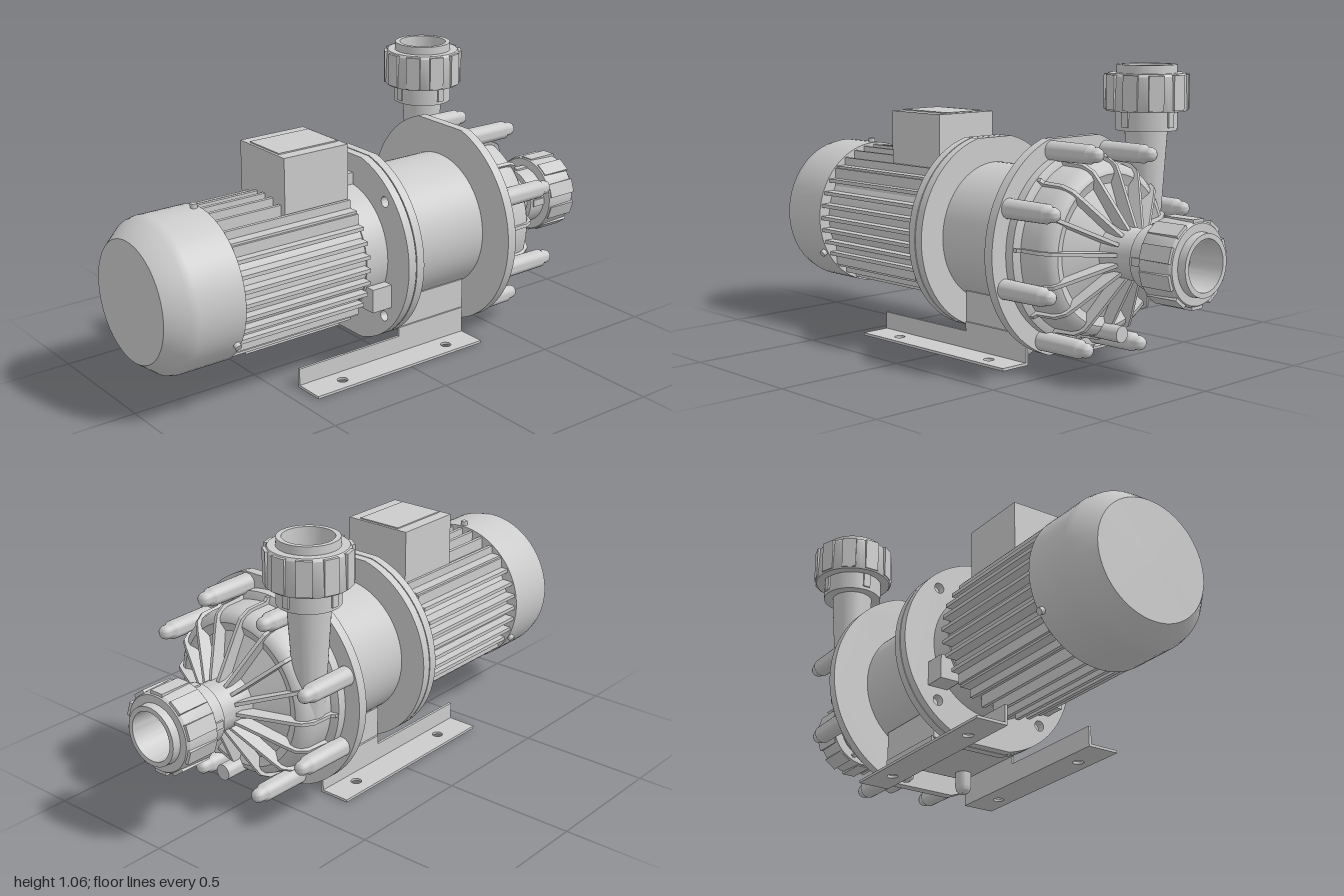
import * as THREE from 'three';
import { toCreasedNormals } from 'three/addons/utils/BufferGeometryUtils.js';

const AY = 0.425, AZ = 0.01; // shaft axis
const mat = new THREE.MeshStandardMaterial({ color: 0xcccccc, side: THREE.DoubleSide });
const rad = THREE.MathUtils.degToRad;

function add(parent, name, geo, x = 0, y = 0, z = 0) {
  const m = new THREE.Mesh(geo, mat);
  m.name = name;
  m.position.set(x, y, z);
  parent.add(m);
  return m;
}

// Turned part: pairs of [position along axis, radius]
function turned(pts, seg = 64) {
  const g = new THREE.LatheGeometry(pts.map(([s, r]) => new THREE.Vector2(r, s)), seg);
  return toCreasedNormals(g, rad(32));
}
const turnedX = (pts, seg) => turned(pts, seg).rotateZ(-Math.PI / 2);

// Disc with flats at top and bottom, and optional bolt holes
function flatDisc(r, flat, thick, holeR = 0, holeRing = 0) {
  const a = Math.asin(flat / r), s = new THREE.Shape();
  s.absarc(0, 0, r, -a, a, false);
  s.absarc(0, 0, r, Math.PI - a, Math.PI + a, false);
  s.closePath();
  if (holeR) for (let i = 0; i < 4; i++) {
    const t = Math.PI / 4 + i * Math.PI / 2, h = new THREE.Path();
    h.absarc(Math.cos(t) * holeRing, Math.sin(t) * holeRing, holeR, 0, Math.PI * 2, true);
    s.holes.push(h);
  }
  const g = new THREE.ExtrudeGeometry(s, { depth: thick, bevelEnabled: false, curveSegments: 40 });
  return toCreasedNormals(g.rotateY(Math.PI / 2), rad(30));
}

// Pipe union along +y: collar, gripped nut and open end
function pipeUnion(name) {
  const g = new THREE.Group();
  g.name = name;
  add(g, 'collar', turned([[0, 0.04], [0, 0.112], [0.075, 0.112]]));
  add(g, 'unionNut', turned([[0.07, 0.1], [0.07, 0.146], [0.078, 0.15], [0.195, 0.145], [0.205, 0.138], [0.205, 0.105]]));
  add(g, 'openEnd', turned([[0.2, 0.11], [0.235, 0.108], [0.235, 0.09], [0.1, 0.085], [0.1, 0.055], [0.01, 0.05], [0.01, 0]]));
  for (let i = 0; i < 10; i++) {
    const a = i * Math.PI / 5;
    const grip = add(g, 'nutGrip', new THREE.BoxGeometry(0.02, 0.125, 0.055), Math.cos(a) * 0.142, 0.138, Math.sin(a) * 0.142);
    grip.rotation.y = -a;
  }
  for (let i = 0; i < 4; i++) {
    const a = i * Math.PI / 2;
    const lug = add(g, 'collarLug', new THREE.BoxGeometry(0.012, 0.055, 0.028), Math.cos(a) * 0.112, 0.04, Math.sin(a) * 0.112);
    lug.rotation.y = -a;
  }
  return g;
}

function buildMotor(p) {
  add(p, 'fanCover', turnedX([[-1, 0], [-1, 0.222], [-0.93, 0.277], [-0.9, 0.284], [-0.715, 0.284], [-0.715, 0.2]]));
  add(p, 'motorBody', turnedX([[-0.73, 0.238], [-0.17, 0.238], [-0.17, 0.243], [-0.07, 0.243]]));
  // parallel cooling fins on four sides
  for (let side = 0; side < 4; side++) {
    const g = new THREE.Group();
    g.name = 'finBank';
    g.rotation.x = side * Math.PI / 2;
    for (let i = -4; i <= 4; i++) {
      const t = i * 0.049, top = Math.sqrt(0.276 ** 2 - t * t), low = Math.sqrt(0.238 ** 2 - t * t) - 0.02;
      add(g, 'coolingFin', new THREE.BoxGeometry(0.545, top - low, 0.014), -0.45, (top + low) / 2, t);
    }
    p.add(g);
  }
  // cover screws
  for (const deg of [90, 210, 330]) {
    const a = rad(deg);
    const s = add(p, 'coverScrew', new THREE.CylinderGeometry(0.013, 0.013, 0.03, 16), -0.735, Math.sin(a) * 0.285, -Math.cos(a) * 0.285);
    s.rotation.x = a - Math.PI / 2;
  }
  // terminal box
  add(p, 'terminalBox', new THREE.BoxGeometry(0.275, 0.235, 0.273), -0.307, 0.318, -0.007);
  add(p, 'terminalBoxLid', new THREE.BoxGeometry(0.255, 0.01, 0.18), -0.307, 0.435, -0.007);
  // mounting lugs behind the flange
  add(p, 'topLug', new THREE.BoxGeometry(0.085, 0.08, 0.07), -0.117, 0.245, 0);
  for (const s of [-1, 1])
    add(p, 'sideLug', new THREE.BoxGeometry(0.085, 0.09, 0.08), -0.117, -0.13, s * 0.225);
  add(p, 'motorFlange', flatDisc(0.365, 0.355, 0.033, 0.02, 0.315), -0.075);
  add(p, 'lanternFlange', flatDisc(0.365, 0.355, 0.033), -0.038);
}

function buildPump(p) {
  add(p, 'lantern', turnedX([[-0.02, 0.262], [0.38, 0.262]]));
  add(p, 'pumpFlange', flatDisc(0.405, 0.385, 0.037), 0.369);
  add(p, 'casing', turnedX([
    [0.4, 0.341], [0.44, 0.341], [0.447, 0.325], [0.45, 0.313], [0.53, 0.311], [0.56, 0.302], [0.578, 0.285],
    [0.583, 0.268], [0.575, 0.25], [0.57, 0.235], [0.59, 0.19], [0.625, 0.11], [0.66, 0.092], [0.77, 0.09]]));
  // ribs fanning out from the inlet neck
  const s = new THREE.Shape([[0.41, 0.06], [0.69, 0.06], [0.69, 0.095], [0.605, 0.265], [0.585, 0.3], [0.545, 0.322],
    [0.465, 0.326], [0.455, 0.338], [0.41, 0.338]].map(([x, y]) => new THREE.Vector2(x, y)));
  const ribGeo = new THREE.ExtrudeGeometry(s, { depth: 0.013, bevelEnabled: false }).translate(0, 0, -0.0065);
  for (let i = 0; i < 16; i++)
    add(p, 'casingRib', ribGeo).rotation.x = rad(18.7 + i * 22.5 - 90);
  // casing bolts with domed heads
  const boltGeo = turnedX([[0.39, 0.036], [0.59, 0.034], [0.6, 0.028], [0.605, 0.026], [0.62, 0.026],
    [0.632, 0.021], [0.639, 0.012], [0.642, 0]], 24);
  for (let i = 0; i < 8; i++) {
    const a = rad(18.7 + i * 45);
    add(p, 'casingBolt', boltGeo, 0, Math.sin(a) * 0.363, -Math.cos(a) * 0.363);
  }
  add(p, 'drainPlug', turnedX([[0.45, 0.03], [0.655, 0.03], [0.655, 0]], 24), 0, -0.285, 0.02);
  // inlet and outlet
  const inlet = pipeUnion('inletUnion');
  inlet.rotation.z = -Math.PI / 2;
  inlet.position.x = 0.765;
  p.add(inlet);
  add(p, 'outletPipe', turned([[-0.02, 0], [-0.02, 0.05], [0.39, 0.077], [0.41, 0.077]], 40), 0.505, 0, -0.267);
  const outlet = pipeUnion('outletUnion');
  outlet.position.set(0.505, 0.4, -0.267);
  p.add(outlet);
}

function buildBase(root) {
  add(root, 'footBlock', new THREE.BoxGeometry(0.325, 0.12, 0.35), 0.187, 0.165, AZ);
  // flat foot plate with two bolt holes
  const plate = new THREE.Shape([[-0.43, 0], [0.345, 0], [0.345, 0.12], [-0.43, 0.12]].map(([x, y]) => new THREE.Vector2(x, y)));
  for (const x of [-0.28, 0.215])
    plate.holes.push(new THREE.Path().absarc(x, 0.065, 0.02, 0, Math.PI * 2, true));
  const plateGeo = new THREE.ExtrudeGeometry(plate, { depth: 0.01, bevelEnabled: false }).rotateX(Math.PI / 2).translate(0, 0.01, 0);
  // stepped upright of the bracket
  const web = new THREE.Shape([[-0.43, 0], [0.345, 0], [0.345, 0.11], [0.03, 0.11], [0.03, 0.075], [-0.43, 0.075]]
    .map(([x, y]) => new THREE.Vector2(x, y)));
  const webGeo = new THREE.ExtrudeGeometry(web, { depth: 0.01, bevelEnabled: false });
  for (const s of [1, -1]) {
    const g = new THREE.Group();
    g.name = s > 0 ? 'leftFootBracket' : 'rightFootBracket';
    add(g, 'footPlate', plateGeo, 0, 0, s > 0 ? AZ + 0.175 : AZ - 0.295);
    add(g, 'footWeb', webGeo, 0, 0, s > 0 ? AZ + 0.172 : AZ - 0.182);
    root.add(g);
    // domed screws under the block
    add(root, 'footScrew', turned([[0.02, 0], [0.023, 0.014], [0.035, 0.026], [0.05, 0.03], [0.12, 0.03]], 24), 0.29, 0, AZ + s * 0.127);
  }
}

export function createModel() {
  const root = new THREE.Group();
  root.name = 'pump';
  const shaft = new THREE.Group();
  shaft.name = 'pumpAndMotor';
  shaft.position.set(0, AY, AZ);
  root.add(shaft);
  buildMotor(shaft);
  buildPump(shaft);
  buildBase(root);
  return root;
}
